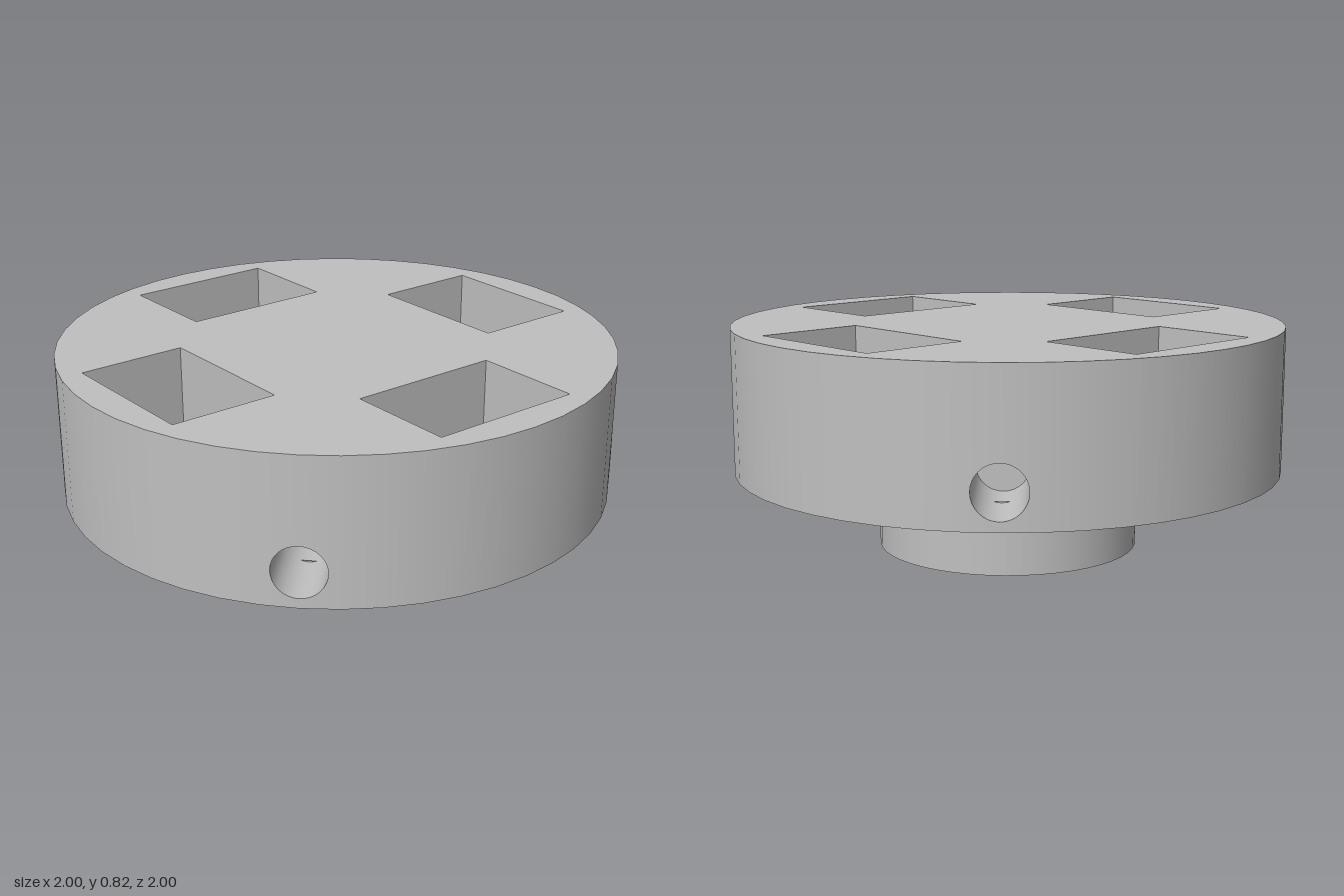
import * as THREE from 'three';

const SEG = 48, BASE = 0.295, TOP = 0.823;
const HOLE_R = 0.092, HOLE_Y = 0.422, HOLE_DEPTH = 0.4;
const POCKET = { radial: 0.396, across: 0.566, depth: 0.4, centre: 0.679 };
const HALF = Math.PI / 24; // half angle of the wall patch around a side hole

// Turns a closed surface inside out, for cavities
function inward(g) {
  const i = g.index.array;
  for (let k = 0; k < i.length; k += 3) [i[k], i[k + 1]] = [i[k + 1], i[k]];
  const n = g.attributes.normal.array;
  for (let k = 0; k < n.length; k++) n[k] = -n[k];
  return g;
}

// Wall patch with a round opening, bent onto the unit cylinder
function holePatch() {
  const s = new THREE.Shape([
    [-HALF, BASE], [0, BASE], [HALF, BASE], [HALF, TOP], [0, TOP], [-HALF, TOP],
  ].map(([x, y]) => new THREE.Vector2(x, y)));
  s.holes.push(new THREE.Path().absarc(0, HOLE_Y, HOLE_R, 0, Math.PI * 2, true));
  const g = new THREE.ShapeGeometry(s, 16);
  const p = g.attributes.position, n = g.attributes.normal;
  for (let i = 0; i < p.count; i++) {
    const u = p.getX(i);
    p.setXYZ(i, Math.sin(u), p.getY(i), Math.cos(u));
    n.setXYZ(i, Math.sin(u), 0, Math.cos(u));
  }
  return g;
}

// Bore of a side hole, its mouth trimmed to the curved wall
function holeBore() {
  const g = new THREE.CylinderGeometry(HOLE_R, HOLE_R, HOLE_DEPTH, 32, 1, true);
  g.rotateX(Math.PI / 2).translate(0, HOLE_Y, 1 - HOLE_DEPTH / 2);
  const p = g.attributes.position;
  for (let i = 0; i < p.count; i++) {
    if (p.getZ(i) > 0.9) p.setZ(i, Math.sqrt(1 - p.getX(i) ** 2));
  }
  return inward(g);
}

export function createModel() {
  const model = new THREE.Group();
  const grey = new THREE.MeshStandardMaterial({ color: 0xc0c0c0 });
  const add = (name, geometry, parent = model) => {
    const mesh = new THREE.Mesh(geometry, grey);
    mesh.name = name;
    parent.add(mesh);
    return mesh;
  };

  // Top face with four rectangular openings
  const disc = new THREE.Shape();
  for (let i = 0; i < SEG; i++) {
    const a = (i / SEG) * Math.PI * 2;
    disc[i ? 'lineTo' : 'moveTo'](Math.cos(a), Math.sin(a));
  }
  const r = POCKET.radial / 2, t = POCKET.across / 2;
  for (let i = 0; i < 4; i++) {
    const a = Math.PI / 4 + (i * Math.PI) / 2;
    const corners = [[-r, -t], [-r, t], [r, t], [r, -t]].map(([x, y]) =>
      new THREE.Vector2(x + POCKET.centre, y).rotateAround(new THREE.Vector2(), a));
    disc.holes.push(new THREE.Path(corners));
  }
  add('topFace', new THREE.ShapeGeometry(disc).rotateX(-Math.PI / 2).translate(0, TOP, 0));

  for (let i = 0; i < 4; i++) {
    // Pocket: a box turned inside out, without its lid
    const box = new THREE.BoxGeometry(POCKET.radial, POCKET.depth, POCKET.across);
    box.setIndex([...box.index.array].filter((_, k) => k < 12 || k >= 18));
    box.clearGroups();
    box.translate(POCKET.centre, TOP - POCKET.depth / 2, 0);
    add('pocket', inward(box)).rotation.y = Math.PI / 4 + (i * Math.PI) / 2;

    // Quarter of the outer wall with its side hole
    const quarter = new THREE.Group();
    quarter.name = 'wallQuarter';
    quarter.rotation.y = (i * Math.PI) / 2;
    model.add(quarter);
    add('holeWall', holePatch(), quarter);
    add('plainWall', new THREE.CylinderGeometry(1, 1, TOP - BASE, 10, 1, true, HALF, Math.PI / 2 - 2 * HALF)
      .translate(0, (TOP + BASE) / 2, 0), quarter);
    add('sideHole', holeBore(), quarter);
    add('sideHoleEnd', new THREE.CircleGeometry(HOLE_R, 32).translate(0, HOLE_Y, 1 - HOLE_DEPTH), quarter);
  }

  // Underside from the centre bore outwards, one sharp-edged band per step
  const profile = [
    [0, 0.3], [0.087, 0.3], [0.087, 0], [0.476, 0], [0.476, BASE],
    [0.76, BASE], [0.76, 0.335], [0.983, 0.335], [0.983, BASE], [1, BASE],
  ].map(([x, y]) => new THREE.Vector2(x, y));
  const names = ['boreEnd', 'bore', 'hubFace', 'hubWall', 'stepFace', 'stepWall', 'grooveFloor', 'lipInside', 'lipEdge'];
  names.forEach((name, i) => add(name, new THREE.LatheGeometry(profile.slice(i, i + 2), SEG)));

  return model;
}
